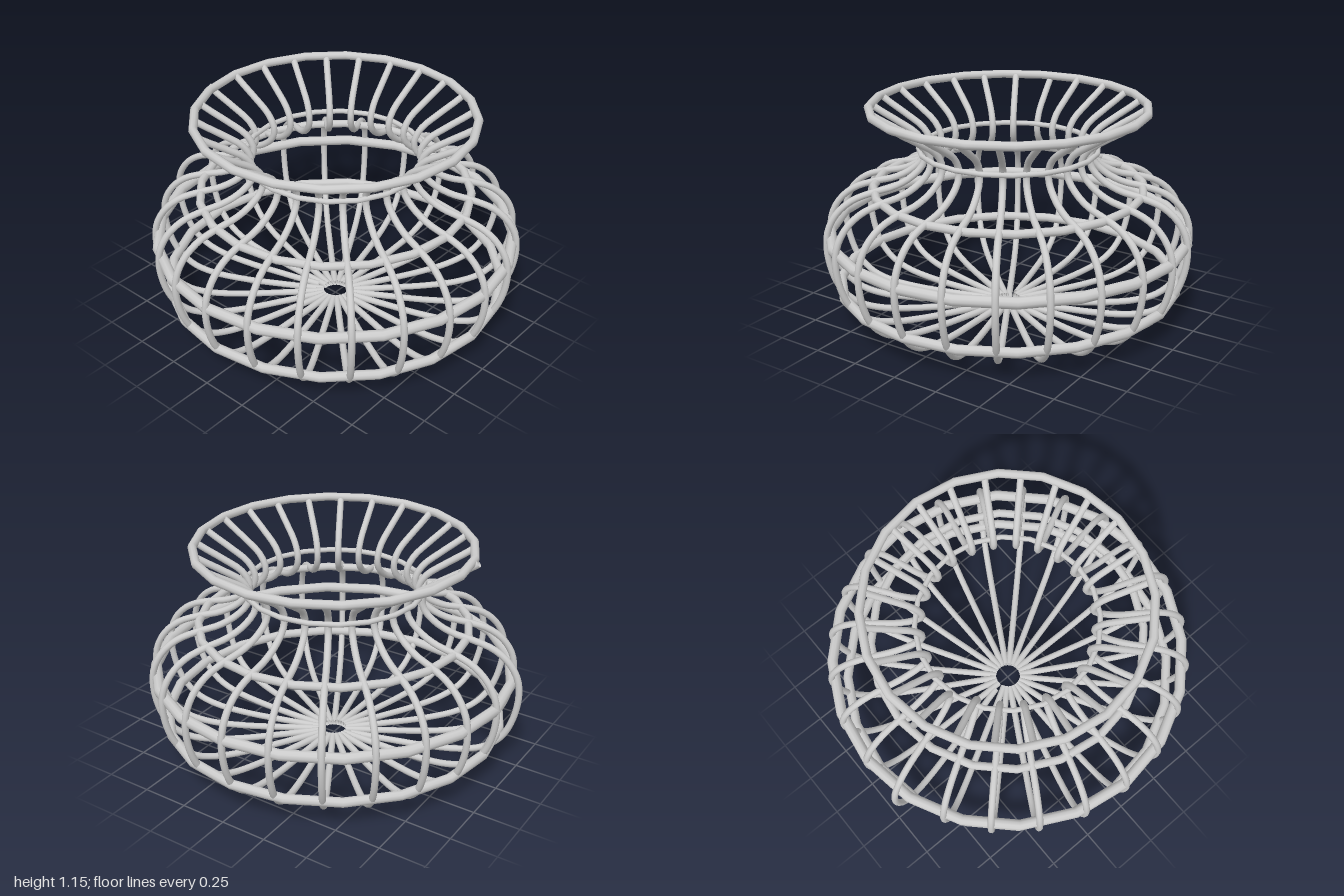
import * as THREE from 'three';

const material = new THREE.MeshStandardMaterial({ color: 0xcccccc, side: THREE.DoubleSide });

// Rib centre line as [radius, height], from the base hub up to the rim
const RIB_PROFILE = [
  [0.07, 0.018], [0.3, 0.018], [0.52, 0.022], [0.7, 0.042], [0.82, 0.085], [0.905, 0.165],
  [0.955, 0.28], [0.975, 0.42], [0.96, 0.52], [0.91, 0.605], [0.83, 0.668], [0.72, 0.705],
  [0.61, 0.73], [0.52, 0.775], [0.455, 0.84], [0.443, 0.9], [0.48, 0.97], [0.58, 1.04],
  [0.67, 1.095], [0.722, 1.13],
];

// Hoops: name, centre radius, height, wire radius
const HOOPS = [
  ['lowerHoop', 0.915, 0.175, 0.026],
  ['bellyHoop', 0.96, 0.455, 0.029],
  ['shoulderHoop', 0.721, 0.698, 0.022],
  ['neckHoop', 0.475, 0.908, 0.014],
  ['rimHoop', 0.728, 1.132, 0.023],
];

const RIBS = 24;
const HOOP_SIDES = 20;

export function createModel() {
  const model = new THREE.Group();
  model.name = 'wireVase';

  // Vertical ribs, all sharing one swept wire
  const curve = new THREE.CatmullRomCurve3(
    RIB_PROFILE.map(([r, y]) => new THREE.Vector3(r, y, 0)), false, 'centripetal');
  const ribGeometry = new THREE.TubeGeometry(curve, 64, 0.018, 10, false);
  const ribs = new THREE.Group();
  ribs.name = 'ribs';
  for (let i = 0; i < RIBS; i++) {
    const rib = new THREE.Mesh(ribGeometry, material);
    rib.name = 'rib';
    rib.rotation.y = (i / RIBS) * Math.PI * 2;
    // One rib stands slightly outside the rest
    if (i === RIBS / 2 + 1) rib.position.x = -0.04;
    ribs.add(rib);
  }
  model.add(ribs);

  // Horizontal hoops, visibly faceted around their length
  for (const [name, radius, y, wire] of HOOPS) {
    const hoop = new THREE.Mesh(new THREE.TorusGeometry(radius, wire, 10, HOOP_SIDES), material);
    hoop.name = name;
    hoop.rotation.x = Math.PI / 2;
    hoop.position.y = y;
    model.add(hoop);
  }

  ribs.position.x = 0.003;
  return model;
}
